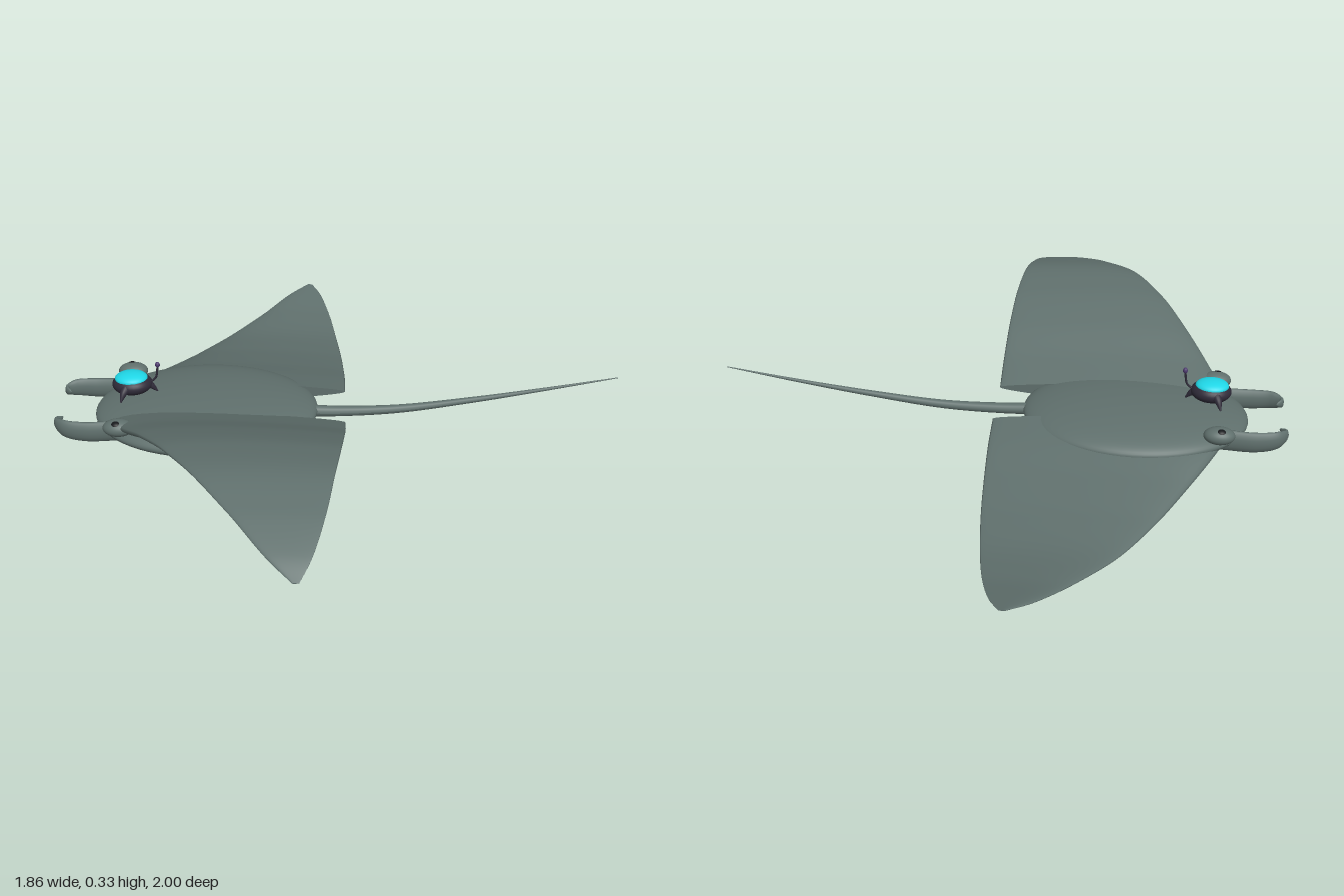
import * as THREE from 'three';

const V = (x, y, z) => new THREE.Vector3(x, y, z);
const skin = new THREE.MeshStandardMaterial({ color: 0x5f6f6c });
const black = new THREE.MeshStandardMaterial({ color: 0x15171a });
const shell = new THREE.MeshStandardMaterial({ color: 0x2e2a38 });
const purple = new THREE.MeshStandardMaterial({ color: 0x4d3a6e });
const cyan = new THREE.MeshStandardMaterial({ color: 0x1fd6e6 });

function part(name, geometry, material, parent) {
  const m = new THREE.Mesh(geometry, material);
  m.name = name;
  parent.add(m);
  return m;
}

function ellipsoid(name, center, radii, material, parent, w = 32, h = 20) {
  const m = part(name, new THREE.SphereGeometry(1, w, h), material, parent);
  m.position.set(...center);
  m.scale.set(...radii);
  return m;
}

// Tube whose thickness follows radius(t); "tall" stretches it in y
function taperedTube(points, segments, radius, tall = 1) {
  const path = new THREE.CatmullRomCurve3(points);
  const sides = 16;
  const geo = new THREE.TubeGeometry(path, segments, 1, sides, false);
  const pos = geo.attributes.position;
  const v = V(0, 0, 0);
  for (let i = 0; i < pos.count; i++) {
    const t = Math.floor(i / (sides + 1)) / segments;
    const c = path.getPointAt(t);
    v.fromBufferAttribute(pos, i).sub(c).multiplyScalar(radius(t));
    v.y *= tall;
    v.add(c);
    pos.setXYZ(i, v.x, v.y, v.z);
  }
  geo.computeVertexNormals();
  return geo;
}

// Wing stations: span, leading x, trailing x, height left, height right, half thickness
const stations = [
  [0.10, -0.75, 0.022, 0.12, 0.115, 0.045],
  [0.22, -0.69, 0.022, 0.17, 0.09, 0.04],
  [0.34, -0.62, 0.018, 0.23, 0.06, 0.033],
  [0.50, -0.525, 0.008, 0.29, 0.03, 0.024],
  [0.66, -0.42, -0.01, 0.313, 0.017, 0.016],
  [0.82, -0.295, -0.037, 0.282, 0.03, 0.011],
  [0.94, -0.195, -0.072, 0.235, 0.055, 0.007],
  [1.00, -0.125, -0.105, 0.2, 0.07, 0.002],
];
const outline = new THREE.CatmullRomCurve3(stations.map(s => V(s[0], s[1], s[2])));
const heights = new THREE.CatmullRomCurve3(stations.map(s => V(s[3], s[4], s[5])));

// Wing lofted from aerofoil sections; side +1 curls up, -1 curls down
function wing(side) {
  const rows = 48, n = 40;
  const pos = [], index = [];
  const tri = (a, b, c) => (side > 0 ? index.push(a, b, c) : index.push(a, c, b));
  for (let i = 0; i <= rows; i++) {
    const o = outline.getPoint(i / rows), h = heights.getPoint(i / rows);
    for (let j = 0; j < n; j++) {
      const a = (j / n) * Math.PI * 2;
      const c = (1 - Math.cos(a)) / 2;
      const y = (side > 0 ? h.x : h.y) + h.z * Math.sin(a) * (1.25 - 0.8 * c);
      pos.push(o.y + c * (o.z - o.y), y, side * Math.min(o.x, 1));
    }
  }
  for (let i = 0; i < rows; i++) {
    for (let j = 0; j < n; j++) {
      const k = (j + 1) % n, p = i * n, q = p + n;
      tri(p + j, q + j, p + k);
      tri(p + k, q + j, q + k);
    }
  }
  // flat root and tip, with their own vertices for a crisp edge
  for (const [row, root] of [[0, true], [rows, false]]) {
    const base = pos.length / 3;
    pos.push(...pos.slice(row * n * 3, (row + 1) * n * 3));
    for (let j = 1; j < n - 1; j++) {
      if (root) tri(base, base + j, base + j + 1);
      else tri(base, base + j + 1, base + j);
    }
  }
  const geo = new THREE.BufferGeometry();
  geo.setAttribute('position', new THREE.Float32BufferAttribute(pos, 3));
  geo.setIndex(index);
  geo.computeVertexNormals();
  return geo;
}

// Small domed pod riding on the head
function pod() {
  const g = new THREE.Group();
  g.name = 'pod';
  ellipsoid('podShell', [0, 0, 0], [0.066, 0.034, 0.056], shell, g);
  ellipsoid('podCanopy', [-0.002, 0.02, 0], [0.054, 0.02, 0.045], cyan, g);
  for (const deg of [0, 112, -112]) {
    const leg = new THREE.Group();
    leg.name = 'podLeg';
    leg.rotation.y = THREE.MathUtils.degToRad(deg);
    part('podFin', taperedTube([V(0.03, 0.004, 0), V(0.058, -0.006, 0), V(0.082, -0.03, 0)],
      12, t => 0.02 * (1 - t) + 0.002), shell, leg);
    g.add(leg);
  }
  part('antenna', taperedTube([V(0.05, 0, 0), V(0.078, 0.02, 0), V(0.088, 0.065, 0)],
    12, () => 0.0035), shell, g);
  ellipsoid('antennaTip', [0.088, 0.07, 0], [0.008, 0.01, 0.008], purple, g, 16, 12);
  g.position.set(-0.682, 0.211, 0);
  return g;
}

export function createModel() {
  const model = new THREE.Group();
  model.name = 'ray';

  ellipsoid('body', [-0.44, 0.11, 0], [0.37, 0.062, 0.273], skin, model, 64, 40);
  part('leftWing', wing(1), skin, model);
  part('rightWing', wing(-1), skin, model);

  // Whip tail, drifting slightly to one side
  part('tail', taperedTube([V(-0.13, 0.105, 0.001), V(0, 0.1, -0.002), V(0.2, 0.105, -0.008),
    V(0.45, 0.135, -0.016), V(0.7, 0.173, -0.024), V(0.93, 0.212, -0.03)],
    60, t => 0.019 * (1 - t) + 0.0015), skin, model);

  for (const s of [1, -1]) {
    // Head horns: tall, thin and hooked inwards
    part('headHorn', taperedTube([V(-0.64, 0.11, s * 0.125), V(-0.74, 0.11, s * 0.134),
      V(-0.83, 0.11, s * 0.138), V(-0.895, 0.117, s * 0.128), V(-0.924, 0.124, s * 0.1),
      V(-0.905, 0.128, s * 0.076)],
      48, t => 0.0175 * Math.sqrt(Math.max(1 - t ** 5, 0.0001)) * (t > 0.8 ? 1 - (t - 0.8) * 2 : 1),
      2.1), skin, model);

    // Eyes with dark pupils facing up and outwards
    ellipsoid('eye', [-0.708, 0.153, s * 0.18], [0.05, 0.028, 0.035], skin, model);
    ellipsoid('pupil', [-0.712, 0.167, s * 0.19], [0.02, 0.014, 0.017], black, model, 20, 14);
  }

  model.add(pod());
  return model;
}
